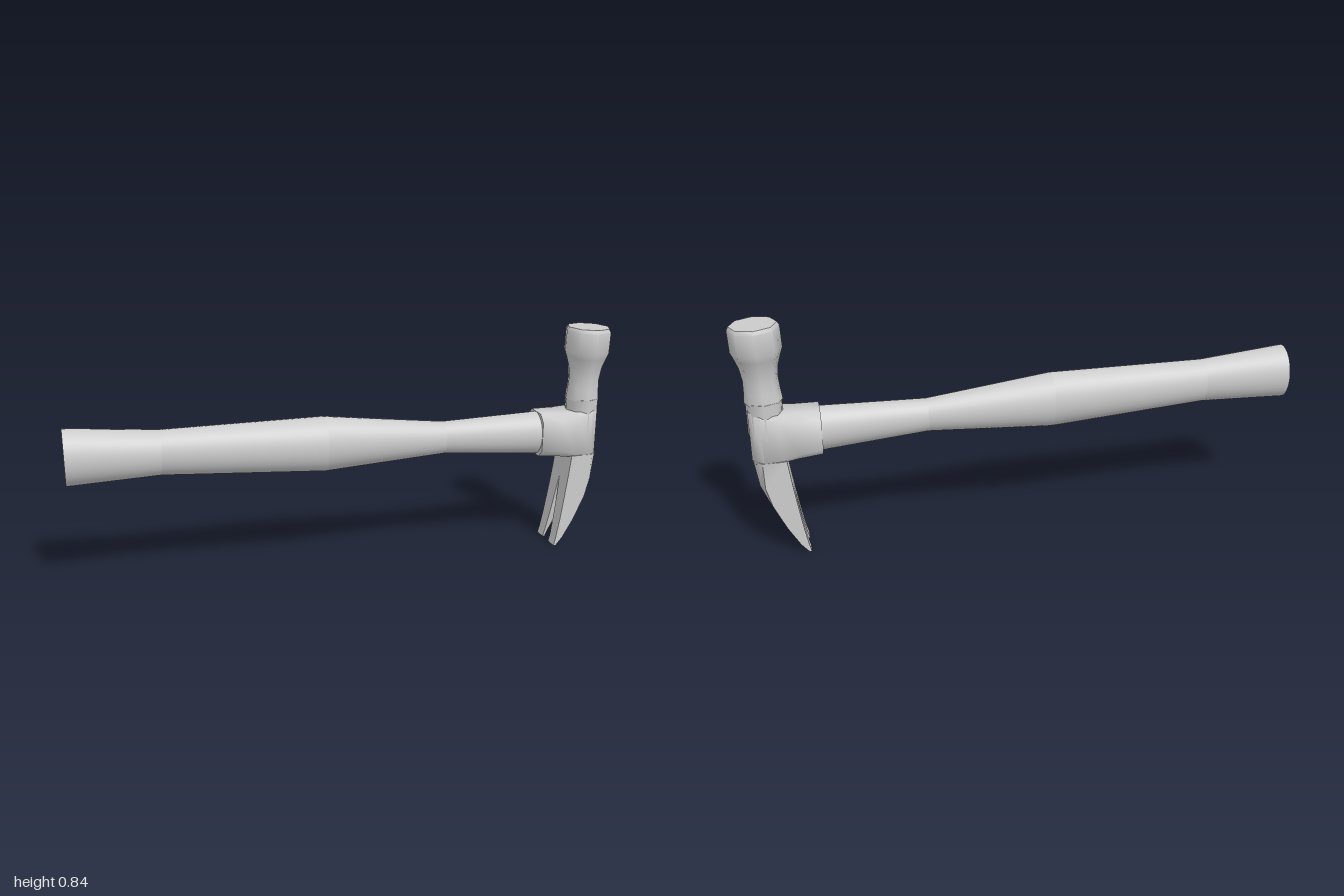
import * as THREE from 'three';
import { toCreasedNormals } from 'three/addons/utils/BufferGeometryUtils.js';

const CREASE = 0.87;

// Skin a list of equal-length rings of [x, y, z] points, with optional end caps
function loft(rings, capStart = true, capEnd = true) {
  const pos = [];
  const tri = (a, b, c) => pos.push(...a, ...b, ...c);
  const n = rings[0].length;
  for (let i = 0; i < rings.length - 1; i++) {
    for (let j = 0; j < n; j++) {
      const k = (j + 1) % n, p = rings[i], q = rings[i + 1];
      tri(p[j], p[k], q[k]);
      tri(p[j], q[k], q[j]);
    }
  }
  const cap = (ring, flip) => {
    const c = [0, 1, 2].map(a => ring.reduce((s, p) => s + p[a], 0) / n);
    for (let j = 0; j < n; j++) {
      const k = (j + 1) % n;
      flip ? tri(c, ring[k], ring[j]) : tri(c, ring[j], ring[k]);
    }
  };
  if (capStart) cap(rings[0], true);
  if (capEnd) cap(rings[rings.length - 1], false);
  const g = new THREE.BufferGeometry();
  g.setAttribute('position', new THREE.Float32BufferAttribute(pos, 3));
  return toCreasedNormals(g, CREASE);
}

// Oval handle section at x
function oval([x, cy, ry, rz], sides = 32) {
  return Array.from({ length: sides }, (_, i) => {
    const a = (i / sides) * Math.PI * 2;
    return [x, cy + ry * Math.cos(a), rz * Math.sin(a)];
  });
}

// Chamfered rectangle at x, from y0 to y1 and half-width h
function chamfered([x, y0, y1, h, c]) {
  return [
    [y1, -h + c], [y1, h - c], [y1 - c, h], [y0 + c, h],
    [y0, h - c], [y0, -h + c], [y0 + c, -h], [y1 - c, -h],
  ].map(([y, z]) => [x, y, z]);
}

// One claw section, inner bevel and outer chamfer on its front edge
function clawSection([y, xb, xf, zi, zo, bevel, outer], side) {
  const zm = zi + (zo - zi) * 0.5;
  const ring = [
    [xb, y, zi], [xf - bevel, y, zi], [xf, y, zm],
    [xf - outer, y, zo], [xb, y, zo],
  ].map(([x, yy, z]) => [x, yy, z * side]);
  return side > 0 ? ring : ring.reverse();
}

export function createModel() {
  const model = new THREE.Group();
  model.name = 'hammer';
  const material = new THREE.MeshStandardMaterial({ color: 0xcccccc });
  const add = (parent, name, geometry) => {
    const mesh = new THREE.Mesh(geometry, material);
    mesh.name = name;
    parent.add(mesh);
    return mesh;
  };

  // Handle: four tapering oval lengths
  const handle = new THREE.Group();
  handle.name = 'handle';
  model.add(handle);
  const sections = [
    [-1, 0.492, 0.1, 0.08],
    [-0.68, 0.483, 0.08, 0.065],
    [-0.1, 0.465, 0.1, 0.08],
    [0.35, 0.451, 0.06, 0.05],
    [0.74, 0.44, 0.081, 0.066],
  ];
  const names = ['handleButt', 'handleGrip', 'handleTaper', 'handleNeck'];
  names.forEach((name, i) => add(handle, name,
    loft([oval(sections[i]), oval(sections[i + 1])], i === 0, i === 3)));

  // Head
  const head = new THREE.Group();
  head.name = 'head';
  model.add(head);

  // Block holding the handle, rounded at the far side
  add(head, 'headBlock', loft([
    [0.72, 0.358, 0.522, 0.068, 0.028],
    [0.8, 0.352, 0.521, 0.071, 0.026],
    [0.86, 0.347, 0.521, 0.069, 0.014],
    [0.92, 0.345, 0.525, 0.065, 0.008],
    [0.948, 0.345, 0.53, 0.045, 0.004],
    [0.96, 0.346, 0.535, 0.02, 0.002],
  ].map(chamfered)));

  // Eight-sided shoulder under the neck
  const shoulder = add(head, 'shoulder',
    toCreasedNormals(new THREE.CylinderGeometry(1, 1, 0.125, 8), CREASE));
  shoulder.scale.set(0.061, 1, 0.067);
  shoulder.position.set(0.903, 0.503, 0);

  // Eight-sided neck and striking face, leaning slightly outward
  const profile = [
    [0.065, -0.005], [0.061, 0.035], [0.059, 0.075], [0.065, 0.12],
    [0.077, 0.155], [0.086, 0.178], [0.086, 0.255], [0.079, 0.268], [0, 0.268],
  ].map(p => new THREE.Vector2(...p));
  const poll = add(head, 'strikingPoll',
    toCreasedNormals(new THREE.LatheGeometry(profile, 8), CREASE));
  poll.position.set(0.903, 0.565, 0);
  poll.rotation.z = -0.04;

  // Split claw: mirrored prongs that meet above the slot
  const claw = [
    [0.355, 0.845, 0.957, 0, 0.067, 0, 0.03],
    [0.26, 0.833, 0.943, 0, 0.068, 0, 0.018],
    [0.19, 0.823, 0.914, 0.008, 0.069, 0.02, 0.008],
    [0.1, 0.809, 0.864, 0.016, 0.071, 0.026, 0],
    [0.03, 0.796, 0.823, 0.023, 0.072, 0.014, 0],
    [0, 0.788, 0.797, 0.025, 0.073, 0, 0],
  ];
  for (const [name, side] of [['frontClaw', 1], ['backClaw', -1]]) {
    add(head, name, loft(claw.map(row => clawSection(row, side))));
  }

  return model;
}
